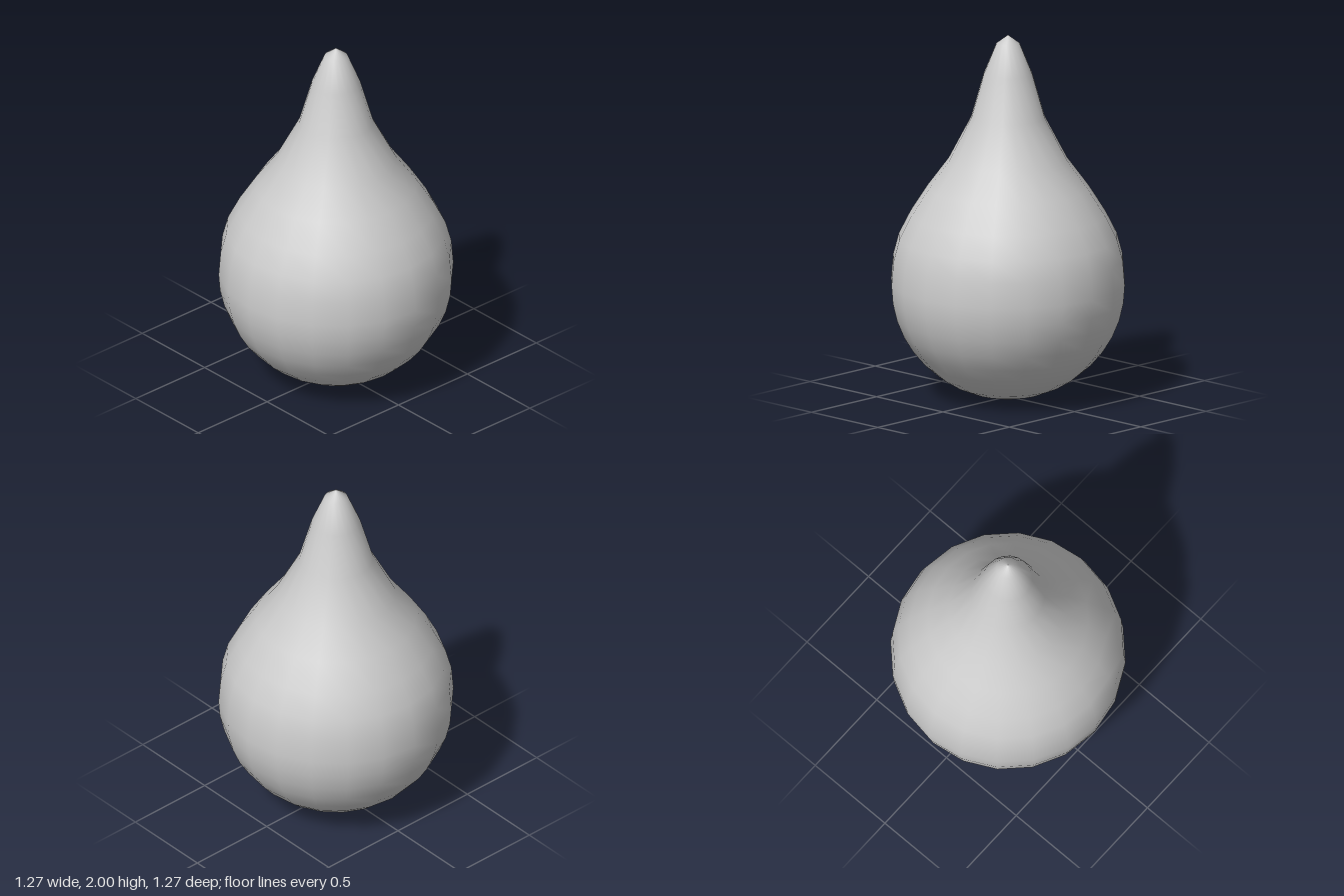
import * as THREE from 'three';

export function createModel() {
  const group = new THREE.Group();
  group.name = 'teardrop';

  // Round lower half: a quarter circle from the base to the widest ring
  const radius = 0.635, steps = 10;
  const profile = [];
  for (let i = 0; i <= steps; i++) {
    const a = (i / steps) * Math.PI / 2;
    profile.push(new THREE.Vector2(radius * Math.sin(a), radius * (1 - Math.cos(a))));
  }

  // Shoulder, concave neck and blunt tip
  const upper = [
    [0.624, 0.77], [0.593, 0.885], [0.53, 1.01], [0.434, 1.16], [0.323, 1.31],
    [0.2, 1.545], [0.132, 1.785], [0.063, 1.953], [0, 2],
  ];
  for (const [r, y] of upper) profile.push(new THREE.Vector2(r, y));

  // Twenty-sided smooth drop
  const drop = new THREE.Mesh(
    new THREE.LatheGeometry(profile, 20),
    new THREE.MeshStandardMaterial({ color: 0xcccccc }),
  );
  drop.name = 'dropBody';
  group.add(drop);
  return group;
}
